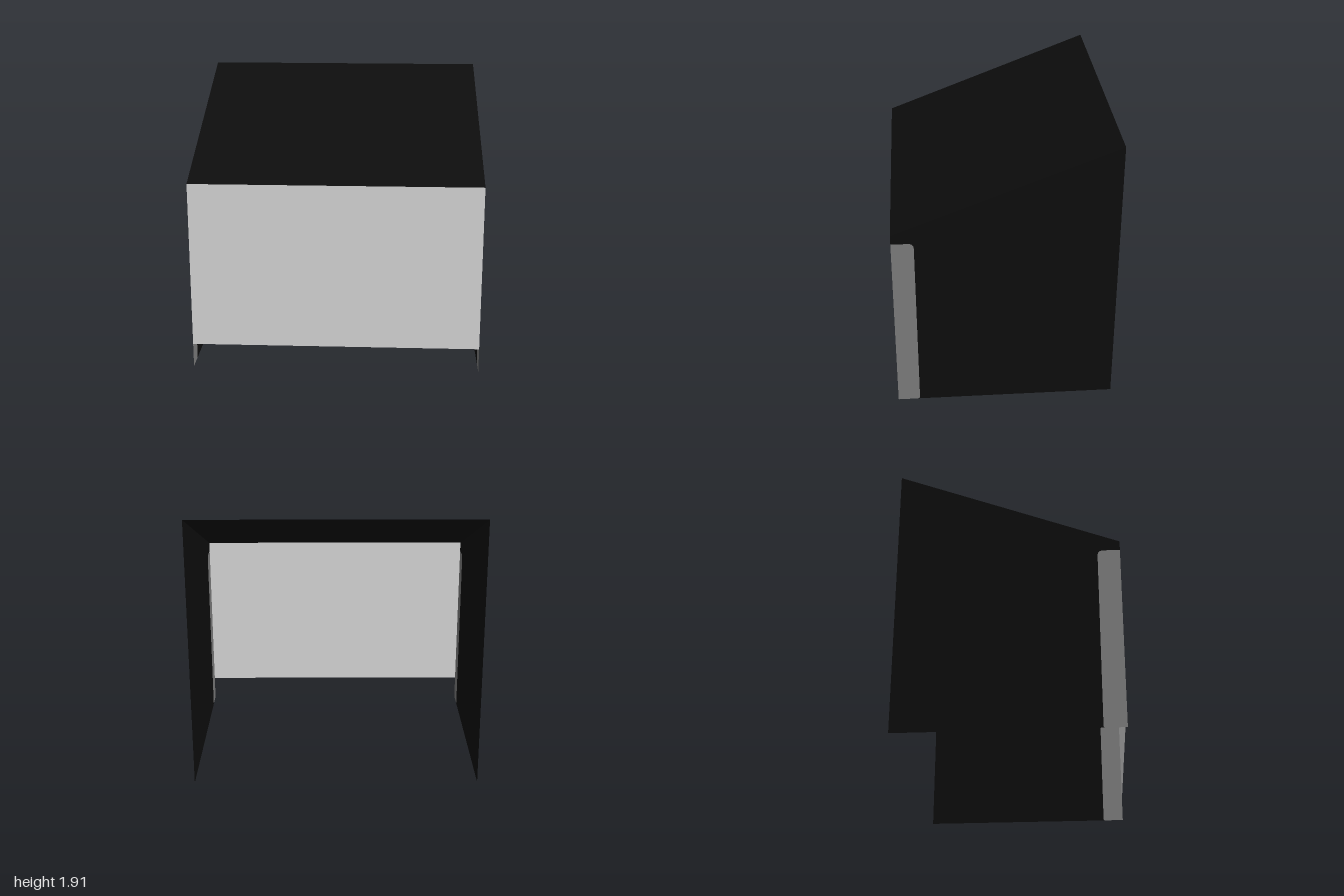
import * as THREE from 'three';

const HALF_W = 1, FRONT = 0.75, BACK = -0.75;
const FRONT_TOP = 1.335, BACK_TOP = 1.915, PANEL_BOTTOM = 0.17;
const STRIP_Z = 0.6, STRIP_TOP = 1.27, R = 0.04, R_LOW = 0.015;

function flat(name, color) {
  const m = new THREE.MeshStandardMaterial({ color, side: THREE.DoubleSide });
  m.name = name;
  return m;
}

// Rounded inner edge of the strip, from its top front to its bottom front (u = -z)
function traceStripEdge(shape) {
  shape.lineTo(-FRONT, STRIP_TOP);
  shape.lineTo(-STRIP_Z - R, STRIP_TOP);
  shape.quadraticCurveTo(-STRIP_Z, STRIP_TOP, -STRIP_Z, STRIP_TOP - R);
  shape.lineTo(-STRIP_Z, R_LOW);
  shape.quadraticCurveTo(-STRIP_Z, 0, -STRIP_Z - R_LOW, 0);
}

// Places an upright outline on the side plane, facing +x
function sidePlate(name, shape, material) {
  const geo = new THREE.ShapeGeometry(shape, 8).rotateY(Math.PI / 2).translate(HALF_W, 0, 0);
  const mesh = new THREE.Mesh(geo, material);
  mesh.name = name;
  return mesh;
}

export function createModel() {
  const model = new THREE.Group();
  model.name = 'shelter';
  const black = flat('black', 0x0d0d0d);
  const white = flat('offWhite', 0xdcdcdc);
  const grey = flat('grey', 0x7f7f7f);

  // Front panel, hanging clear of the ground
  const panelH = FRONT_TOP - PANEL_BOTTOM;
  const panel = new THREE.Mesh(new THREE.PlaneGeometry(HALF_W * 2, panelH), white);
  panel.name = 'frontPanel';
  panel.position.set(0, PANEL_BOTTOM + panelH / 2, FRONT);
  model.add(panel);

  // Sloping roof sheet
  const rise = BACK_TOP - FRONT_TOP, run = FRONT - BACK;
  const roof = new THREE.Mesh(new THREE.PlaneGeometry(HALF_W * 2, Math.hypot(rise, run)), black);
  roof.name = 'roof';
  roof.rotation.x = -Math.atan2(run, rise);
  roof.position.set(0, (FRONT_TOP + BACK_TOP) / 2, 0);
  model.add(roof);

  // Side wall and its front edge strip, mirrored
  const wall = new THREE.Shape();
  wall.moveTo(-FRONT, FRONT_TOP);
  traceStripEdge(wall);
  wall.lineTo(-BACK, 0);
  wall.lineTo(-BACK, BACK_TOP);
  wall.closePath();

  const strip = new THREE.Shape();
  strip.moveTo(-FRONT, 0);
  traceStripEdge(strip);
  strip.closePath();

  for (const s of [1, -1]) {
    const side = new THREE.Group();
    side.name = s > 0 ? 'leftSide' : 'rightSide';
    side.add(sidePlate('sideWall', wall, black), sidePlate('edgeStrip', strip, grey));
    side.scale.x = s;
    model.add(side);
  }
  return model;
}
